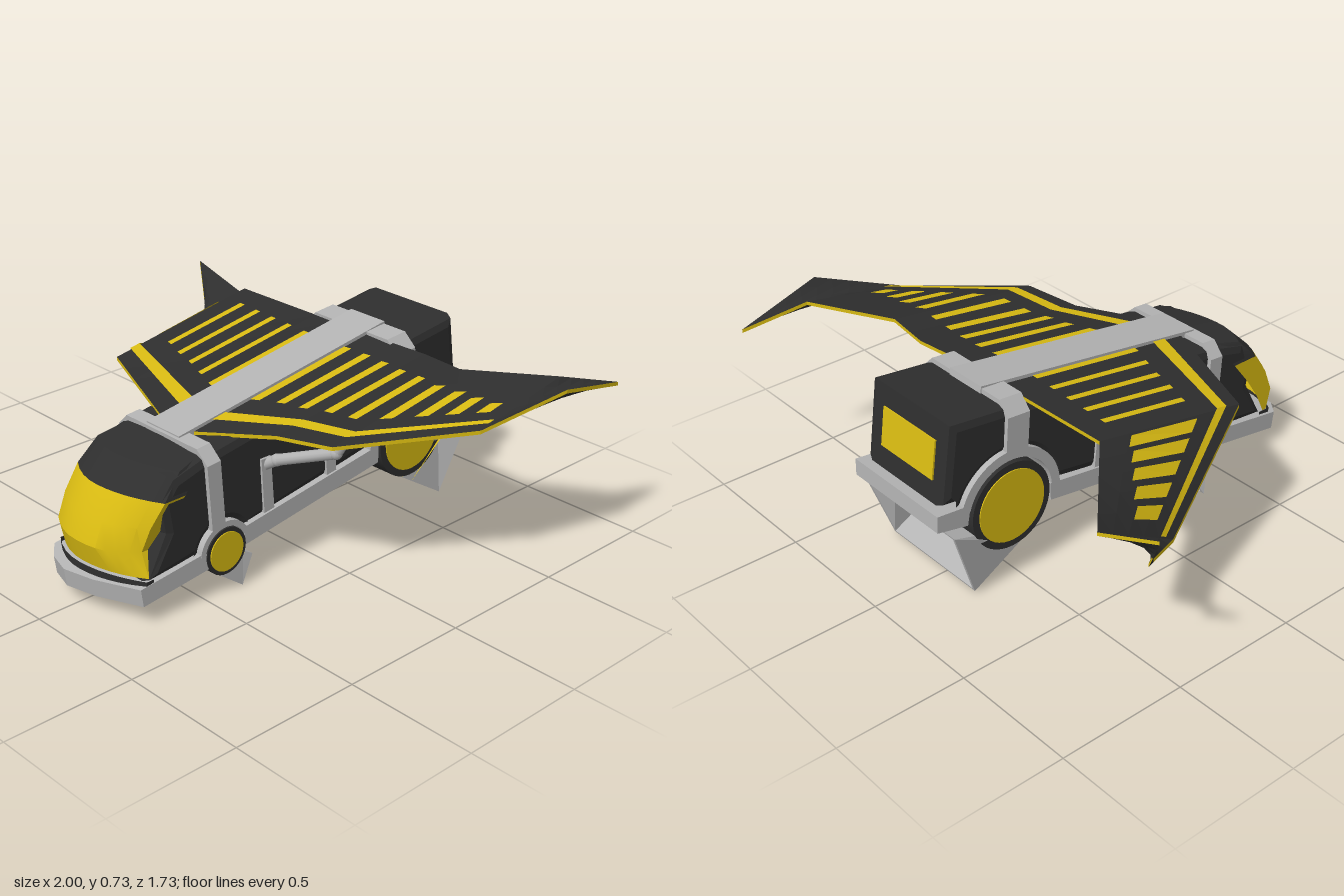
import * as THREE from 'three';
import { toCreasedNormals } from 'three/addons/utils/BufferGeometryUtils.js';

const material = (name, color) => {
  const m = new THREE.MeshStandardMaterial({ color, side: THREE.DoubleSide });
  m.name = name;
  return m;
};
const V = (x, y, z) => new THREE.Vector3(x, y, z);
const CX = 0.055; // centre line of the bus body
const PITCH = 0.147; // nose-down attitude

// flat-shaded geometry from four-cornered faces
function quads(list) {
  const pos = [];
  for (const [a, b, c, d] of list) for (const p of [a, b, c, a, c, d]) pos.push(p.x, p.y, p.z);
  const g = new THREE.BufferGeometry();
  g.setAttribute('position', new THREE.Float32BufferAttribute(pos, 3));
  g.computeVertexNormals();
  return g;
}

// side profile in (z, y), extruded across x
function across(shape, half, bevel = 0) {
  const g = new THREE.ExtrudeGeometry(shape, {
    depth: 2 * (half - bevel), bevelEnabled: bevel > 0, bevelSize: bevel,
    bevelThickness: bevel, bevelOffset: -bevel, bevelSegments: 2, curveSegments: 24,
  });
  g.translate(0, 0, -(half - bevel));
  return g.rotateY(-Math.PI / 2).translate(CX, 0, 0);
}
const polygon = pts => new THREE.Shape(pts.map(p => new THREE.Vector2(p[0], p[1])));

// bowed nose surface; rows are [y, front z, side back z, width, dent]
function noseShell(rows) {
  const grid = rows.map(([y, zf, zb, w, dent = 0]) => {
    const row = [];
    for (let i = 0; i <= 10; i++) {
      const u = i / 5 - 1, x = CX + u * 0.2225 * w;
      const bow = x < 0 ? 0.055 * (x / 0.165) ** 2 : 0.08 * (x / 0.28) ** 2;
      const k = dent * Math.max(0, u) ** 2;
      row.push(V(x - k, y, zf - bow - k * 0.6));
    }
    const l = row[0], r = row[10];
    row.unshift(V(l.x, y, Math.min(zb, l.z)));
    row.push(V(r.x, y, Math.min(zb, r.z)));
    return row;
  });
  const faces = [];
  for (let j = 0; j + 1 < grid.length; j++)
    for (let i = 0; i < 12; i++)
      faces.push([grid[j][i], grid[j + 1][i], grid[j + 1][i + 1], grid[j][i + 1]]);
  return toCreasedNormals(quads(faces), 0.5);
}

export function createModel() {
  const dark = material('charcoal', 0x2e2e2e);
  const yellow = material('yellow', 0xd9bb12);
  const grey = material('light grey', 0xb4b4b4);
  const model = new THREE.Group();
  const add = (name, geo, mat, parent = model) => {
    const m = new THREE.Mesh(geo, mat);
    m.name = name;
    parent.add(m);
    return m;
  };
  const group = name => {
    const g = new THREE.Group();
    g.name = name;
    model.add(g);
    return g;
  };

  const wheels = [
    { name: 'front', z: 0.405, y: 0.16, r: 0.09, cap: 0.075, arch: 0.115, a0: 0.1, a1: 2.75 },
    { name: 'rear', z: -0.532, y: 0.307, r: 0.17, cap: 0.142, arch: 0.22, a0: -0.1, a1: 2.85 },
  ];

  // body with wheel cut-outs
  const body = polygon([[0.62, 0.505], [0.475, 0.543], [-0.53, 0.69], [-0.765, 0.718], [-0.81, 0.405], [-0.705, 0.4]]);
  body.absarc(-0.532, 0.307, 0.2, 2.65, 0, true);
  body.lineTo(0.3, 0.2);
  body.absarc(0.405, 0.16, 0.1, 2.75, 0.1, true);
  for (const p of [[0.74, 0.15], [0.66, 0.31], [0.68, 0.43]]) body.lineTo(p[0], p[1]);
  add('body', across(body, 0.22, 0.035), dark);

  // nose: visor, windshield and sill
  add('visor', noseShell([[0.548, 0.49, 0.45, 0.8], [0.515, 0.65, 0.5, 0.92], [0.43, 0.74, 0.57, 1]]), dark);
  add('windshield', noseShell([[0.43, 0.74, 0.57, 1], [0.34, 0.8, 0.64, 1, 0.025],
    [0.25, 0.835, 0.7, 1, 0.05], [0.165, 0.815, 0.74, 1, 0.01]]), yellow);
  add('sill', noseShell([[0.165, 0.83, 0.72, 1.01], [0.125, 0.83, 0.72, 1.01]]), dark);
  const bumper = polygon([[-0.182, 0.5], [-0.182, 0.8], [-0.12, 0.85], [-0.03, 0.875], [0.1, 0.85], [0.28, 0.785], [0.292, 0.5]]);
  add('frontBumper', new THREE.ExtrudeGeometry(bumper, { depth: 0.07, bevelEnabled: false })
    .rotateX(Math.PI / 2).rotateX(PITCH).translate(0, 0.26, 0), grey);

  // chassis and rear bumper
  add('chassis', across(polygon([[0.315, 0.15], [0.315, 0.222], [-0.355, 0.317], [-0.355, 0.247]]), 0.237), grey);
  add('rearBumper', across(polygon([[-0.705, 0.385], [-0.845, 0.4], [-0.847, 0.335], [-0.72, 0.308]]), 0.237), grey);
  const rearWindow = add('rearWindow', new THREE.BoxGeometry(0.29, 0.15, 0.009), yellow);
  rearWindow.position.set(0.04, 0.565, -0.789);
  rearWindow.rotation.x = 0.144;

  // hoops round the body and the roof spine
  for (const [z, depth, y0, y1] of [[0.445, 0.06, 0.26, 0.565], [-0.49, 0.095, 0.49, 0.705]]) {
    const h = 0.237, c = 0.05, H = y1 - y0;
    const hoop = polygon([[-h, 0], [h, 0], [h, H - c], [h - c, H], [c - h, H], [-h, H - c]]);
    add('hoop', new THREE.ExtrudeGeometry(hoop, { depth, bevelEnabled: false })
      .translate(CX, 0, -depth / 2).rotateX(0.08).translate(0, y0, z - 0.01), grey);
  }
  const spine = add('roofSpine', new THREE.BoxGeometry(0.172, 0.035, 1.02), grey);
  spine.position.set(0.05, 0.625, -0.03);
  spine.rotation.x = PITCH;
  for (const [z, y0, y1] of [[0.19, 0.22, 0.45], [-0.12, 0.26, 0.45]]) {
    add('sideStrap', across(polygon([[z - 0.024, y0], [z + 0.024, y0], [z + 0.04, y1], [z - 0.005, y1]]), 0.229), grey);
  }

  // wheels and arches
  for (const w of wheels) {
    const g = group(w.name + 'Wheel');
    for (const [name, r, half, mat] of [['tyre', w.r, 0.24, dark], ['hubCap', w.cap, 0.244, yellow]]) {
      add(name, new THREE.CylinderGeometry(r, r, half * 2, 40).rotateZ(Math.PI / 2).translate(CX, w.y, w.z), mat, g);
    }
    const s = new THREE.Shape();
    s.absarc(w.z, w.y, w.arch, w.a0, w.a1, false);
    s.absarc(w.z, w.y, w.name === 'rear' ? 0.183 : 0.093, w.a1, w.a0, true);
    add('arch', across(s, 0.237), grey, g);
  }

  // flared nozzles behind the wheels; each corner is [x right, x left, y, z]
  const nozzle = (name, near, far) => {
    const g = group(name);
    const ring = ([u, l]) => [V(u[0], u[2], u[3]), V(u[1], u[2], u[3]), V(l[1], l[2], l[3]), V(l[0], l[2], l[3])];
    const a = ring(near), b = ring(far);
    add('flare', quads(a.map((p, i) => [p, a[(i + 1) % 4], b[(i + 1) % 4], b[i]])), grey, g);
    const lip = b.map(p => p.clone().lerp(b[0].clone().add(b[2]).multiplyScalar(0.5), 0.05));
    add('lip', quads(b.map((p, i) => [p, b[(i + 1) % 4], lip[(i + 1) % 4], lip[i]])), grey, g);
    add('glow', quads([a.map((p, i) => p.clone().lerp(b[i], 0.25))]), yellow, g);
  };
  nozzle('rearNozzle', [[-0.18, 0.29, 0.25, -0.69], [-0.18, 0.29, 0.135, -0.495]],
    [[-0.19, 0.345, 0.285, -0.785], [-0.17, 0.305, 0.01, -0.695]]);
  nozzle('frontNozzle', [[-0.18, 0.292, 0.13, 0.325], [-0.18, 0.292, 0.07, 0.43]],
    [[-0.205, 0.3, 0.11, 0.288], [-0.26, 0.3, 0, 0.335]]);

  // wings: stations of [back, front] points; slats are [x, t0, t1]
  const wing = (name, stations, slats, halfSlat) => {
    const g = group(name), n = stations.length - 1, N = 5;
    const P = (s, t, up = 0) => {
      const i = Math.min(n - 1, Math.floor(s)), f = s - i;
      const a = stations[i].map(p => V(...p)), b = stations[i + 1].map(p => V(...p));
      const p = a[0].lerp(b[0], f).lerp(a[1].lerp(b[1], f), t);
      p.y += up;
      return p;
    };
    const faces = [], rim = [];
    const T = -0.014;
    for (let i = 0; i < n * N; i++) {
      const s0 = i / N, s1 = (i + 1) / N;
      for (let j = 0; j < N; j++) {
        const t0 = j / N, t1 = (j + 1) / N;
        for (const y of [0, T]) faces.push([P(s0, t0, y), P(s0, t1, y), P(s1, t1, y), P(s1, t0, y)]);
      }
      for (const t of [0, 1]) rim.push([P(s0, t), P(s1, t), P(s1, t, T), P(s0, t, T)]);
    }
    rim.push([P(n, 0), P(n, 1), P(n, 1, T), P(n, 0, T)]);
    add('panel', quads(faces), dark, g);
    add('rim', quads(rim), yellow, g);
    const xs = stations.map(s => Math.abs(s[0][0]));
    const station = x => {
      let i = 0;
      while (i < n - 1 && x > xs[i + 1]) i++;
      return i + Math.min(1, Math.max(0, (x - xs[i]) / (xs[i + 1] - xs[i])));
    };
    const up = 0.007;
    add('slats', quads(slats.map(([x, t0, t1]) => {
      const a = station(x - halfSlat), b = station(x + halfSlat);
      return [P(a, t0, up), P(a, t1, up), P(b, t1, up), P(b, t0, up)];
    })), yellow, g);
    const stripe = [];
    for (let i = 0; i < (n - 1) * N; i++) {
      const a = i / N, b = (i + 1) / N;
      stripe.push([P(a, 0.83, up), P(a, 0.9, up), P(b, 0.9, up), P(b, 0.83, up)]);
    }
    add('leadingStripe', quads(stripe), yellow, g);
  };
  wing('leftWing', [
    [[0.135, 0.69, -0.44], [0.135, 0.565, 0.41]],
    [[0.4, 0.685, -0.465], [0.38, 0.582, 0.25]],
    [[0.585, 0.69, -0.445], [0.595, 0.6, 0.2]],
    [[0.885, 0.705, -0.625], [0.885, 0.63, -0.21]],
    [[0.965, 0.64, -0.86], [1, 0.725, -0.515]],
  ], [[0.158, 0.15, 0.7], [0.25, 0.16, 0.7], [0.34, 0.18, 0.72], [0.43, 0.2, 0.72], [0.52, 0.2, 0.72],
    [0.61, 0.24, 0.68], [0.69, 0.32, 0.68], [0.76, 0.42, 0.68], [0.83, 0.52, 0.68]], 0.016);
  wing('rightWing', [
    [[-0.035, 0.69, -0.44], [-0.035, 0.565, 0.41]],
    [[-0.525, 0.69, -0.43], [-0.535, 0.577, 0.21]],
    [[-0.745, 0.545, -0.635], [-0.745, 0.357, -0.3]],
    [[-1, 0.637, -0.61], [-0.87, 0.44, -0.53]],
  ], [[0.056, 0.15, 0.72], [0.15, 0.15, 0.71], [0.242, 0.15, 0.7], [0.333, 0.15, 0.7], [0.425, 0.15, 0.69],
    [0.548, 0.22, 0.7], [0.585, 0.26, 0.7], [0.625, 0.3, 0.7], [0.665, 0.36, 0.7], [0.705, 0.42, 0.7]], 0.013);

  // jointed struts carrying the wings
  const struts = [
    [[0.27, 0.42, 0.2], [0.32, 0.45, 0.19], [0.55, 0.54, 0.135], [0.57, 0.585, 0.12]],
    [[0.27, 0.41, -0.1], [0.33, 0.44, -0.11], [0.57, 0.52, -0.22], [0.66, 0.53, -0.24], [0.81, 0.62, -0.29]],
    [[-0.16, 0.42, 0.2], [-0.2, 0.44, 0.19], [-0.32, 0.51, 0.15], [-0.41, 0.57, 0.12]],
    [[-0.16, 0.41, -0.1], [-0.2, 0.44, -0.11], [-0.4, 0.53, -0.21], [-0.46, 0.51, -0.23], [-0.58, 0.51, -0.29], [-0.6, 0.55, -0.3]],
  ];
  for (const pts of struts) {
    const g = group('wingStrut'), p = pts.map(q => V(...q));
    for (let i = 0; i + 1 < p.length; i++) {
      add('rod', new THREE.TubeGeometry(new THREE.LineCurve3(p[i], p[i + 1]), 1, 0.021, 12), grey, g);
      add('joint', new THREE.SphereGeometry(0.023, 12, 8).translate(p[i].x, p[i].y, p[i].z), grey, g);
    }
  }
  return model;
}
